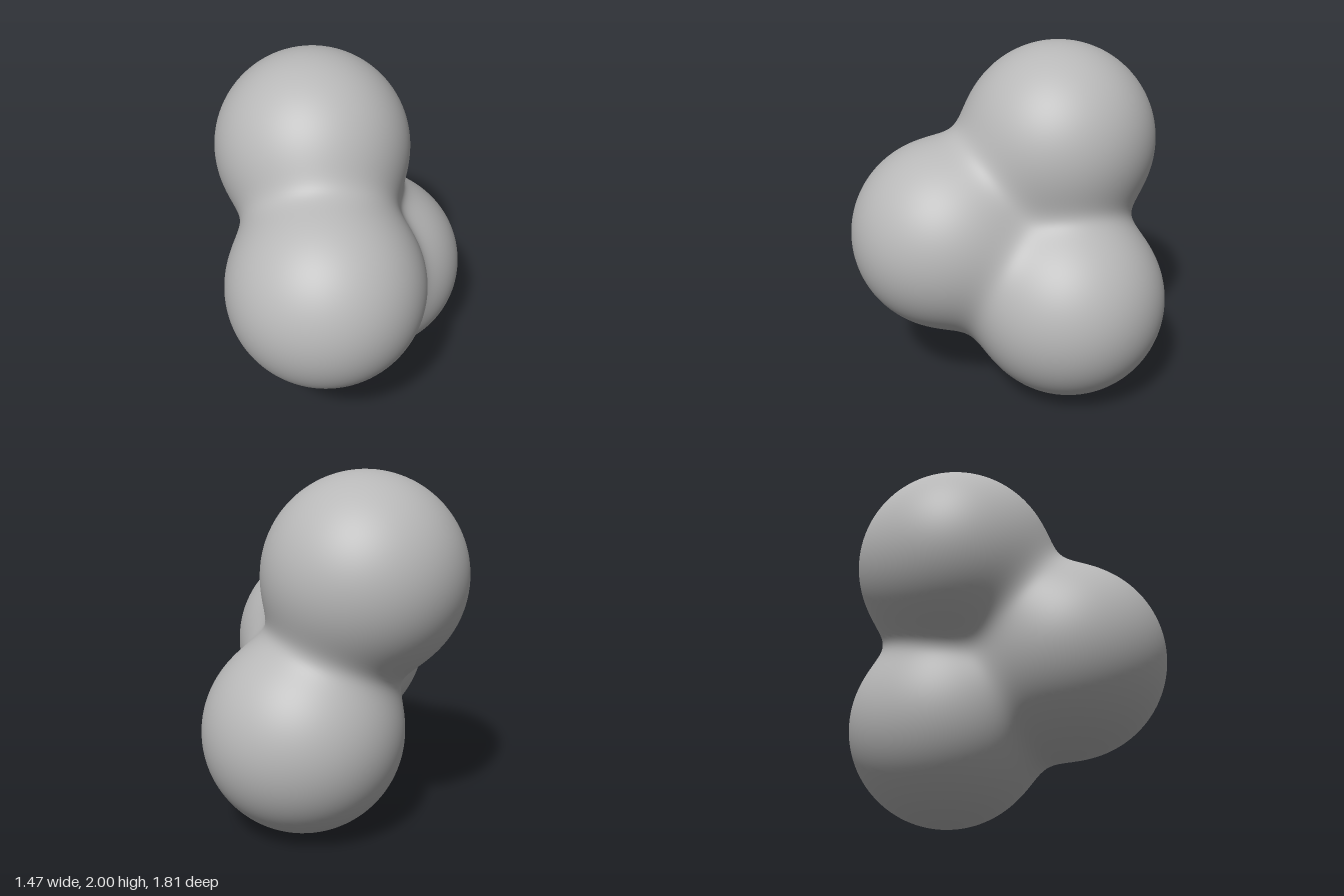
import * as THREE from 'three';
import { mergeVertices } from 'three/addons/utils/BufferGeometryUtils.js';

// Three equal balls melted into one another
const RADIUS = 0.565;
const SHARPNESS = 13.5; // higher gives tighter creases between the balls
const BALLS = [
  new THREE.Vector3(-0.17, 1.435, -0.30), // upper
  new THREE.Vector3(-0.045, 0.91, 0.345), // front
  new THREE.Vector3(0.17, 0.565, -0.34), // lower
];

// Smooth union of the balls: negative inside, positive outside
function distance(p) {
  let sum = 0;
  for (const c of BALLS) sum += Math.exp(-SHARPNESS * (p.distanceTo(c) - RADIUS));
  return -Math.log(sum) / SHARPNESS;
}

// Push each vertex of a unit sphere out from the shared core to the blended surface
function blendedSurface() {
  let geometry = new THREE.IcosahedronGeometry(1, 36);
  geometry.deleteAttribute('uv');
  geometry.deleteAttribute('normal');
  geometry = mergeVertices(geometry, 1e-5);

  const core = new THREE.Vector3();
  BALLS.forEach((c) => core.addScaledVector(c, 1 / BALLS.length));

  const position = geometry.attributes.position;
  const direction = new THREE.Vector3();
  const point = new THREE.Vector3();
  for (let i = 0; i < position.count; i++) {
    direction.fromBufferAttribute(position, i).normalize();
    let near = 0;
    let far = 2;
    for (let step = 0; step < 30; step++) {
      const mid = (near + far) / 2;
      point.copy(core).addScaledVector(direction, mid);
      if (distance(point) < 0) near = mid;
      else far = mid;
    }
    point.copy(core).addScaledVector(direction, near);
    position.setXYZ(i, point.x, point.y, point.z);
  }
  geometry.computeVertexNormals();
  return geometry;
}

export function createModel() {
  const group = new THREE.Group();
  group.name = 'blobCluster';

  const grey = new THREE.MeshStandardMaterial({ color: 0xb8b8b8 });
  grey.name = 'grey';

  const body = new THREE.Mesh(blendedSurface(), grey);
  body.name = 'blendedBalls';
  group.add(body);
  return group;
}
